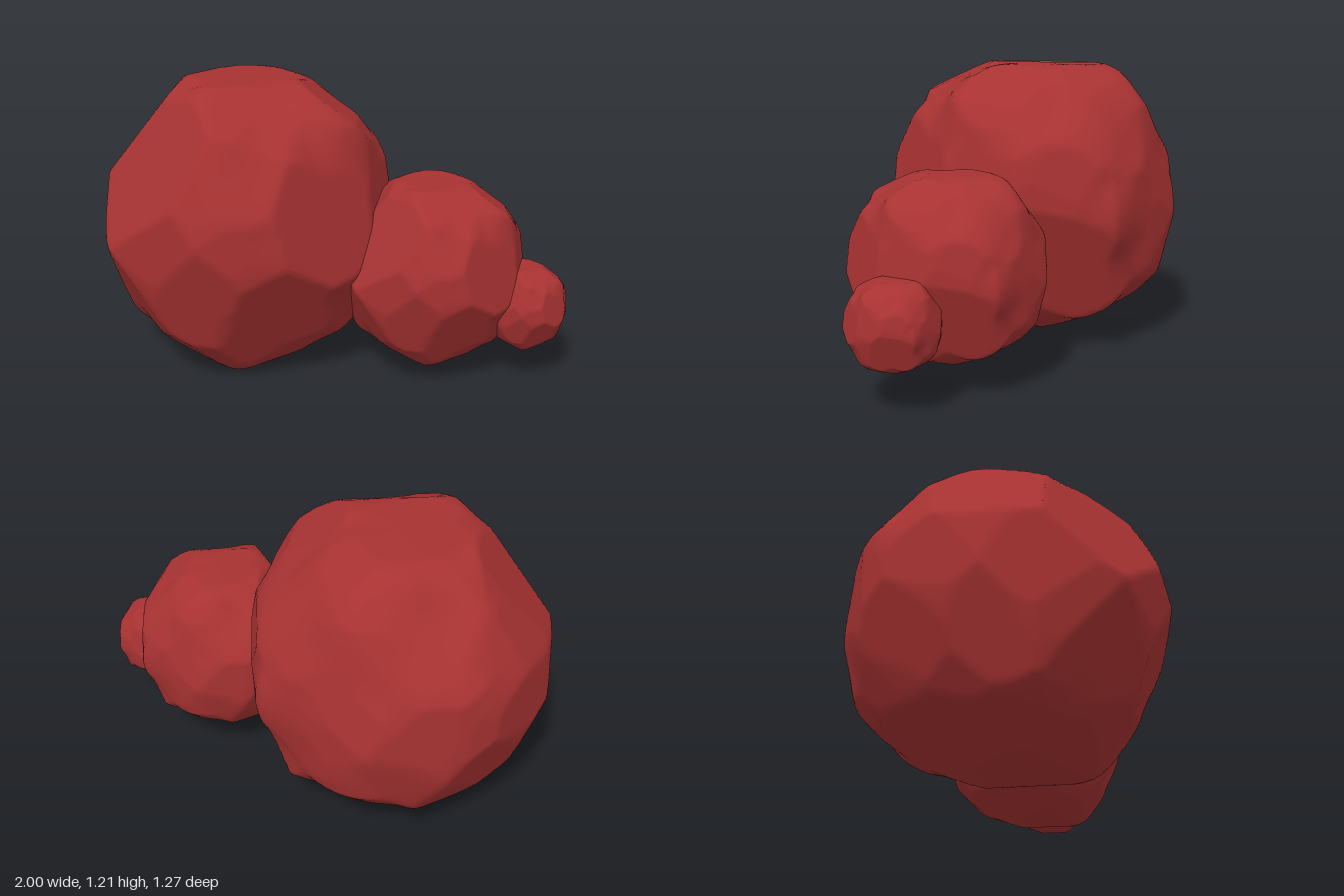
import * as THREE from 'three';
import { mergeVertices } from 'three/addons/utils/BufferGeometryUtils.js';

// Main corners of the boulder as [right, up], on planes facing an azimuth / elevation
const OUTLINES = [
  { az: 0, el: 0, corners: [
    [-0.615, -0.04], [-0.585, 0.18], [-0.32, 0.59], [0.355, 0.61], [0.535, 0.48],
    [0.615, -0.03], [0.5, -0.45], [0.085, -0.61], [-0.215, -0.575], [-0.475, -0.45]] },
  { az: 90, el: 0, corners: [
    [-0.31, -0.61], [-0.48, -0.42], [-0.64, 0.07], [-0.5, 0.5], [-0.21, 0.61], [0.38, 0.59],
    [0.53, 0.43], [0.64, -0.07], [0.6, -0.32], [0.46, -0.47], [0.1, -0.585]] },
  { az: 0, el: 90, corners: [
    [-0.615, 0], [-0.5, 0.43], [-0.115, 0.64], [0.395, 0.57], [0.615, 0.16],
    [0.6, -0.29], [0.505, -0.5], [0.03, -0.635], [-0.445, -0.48]] },
  { az: 35, el: 25, corners: [
    [0.08, 0.68], [-0.2, 0.62], [-0.575, 0.23], [-0.625, -0.09], [-0.425, -0.465], [-0.15, -0.67],
    [0.14, -0.63], [0.4, -0.5], [0.65, 0.08], [0.64, 0.27], [0.3, 0.62]] },
  { az: -145, el: 25, corners: [
    [-0.32, 0.63], [0.245, 0.615], [0.62, 0.04], [0.51, -0.43], [0.36, -0.54],
    [-0.045, -0.6], [-0.53, -0.48], [-0.65, -0.1], [-0.59, 0.295]] },
  { az: 140, el: -30, corners: [
    [-0.015, 0.65], [0.31, 0.63], [0.63, 0.21], [0.63, -0.04], [0.47, -0.4],
    [0.3, -0.6], [-0.28, -0.63], [-0.62, -0.1], [-0.475, 0.52]] },
];

// Plane axes and counter-clockwise corners for one outline
function makeRing({ az, el, corners }) {
  const a = THREE.MathUtils.degToRad(az);
  const e = THREE.MathUtils.degToRad(el);
  return {
    right: new THREE.Vector3(Math.cos(a), 0, -Math.sin(a)),
    up: new THREE.Vector3(-Math.sin(e) * Math.sin(a), Math.cos(e), -Math.sin(e) * Math.cos(a)),
    corners: [...corners].sort((p, q) => Math.atan2(p[1], p[0]) - Math.atan2(q[1], q[0])),
  };
}

const cross = (p, q) => p[0] * q[1] - p[1] * q[0];

// Factor by which t must grow to meet the outline
function reach(corners, t) {
  for (let i = 0; i < corners.length; i++) {
    const a = corners[i];
    const b = corners[(i + 1) % corners.length];
    if (cross(a, t) >= 0 && cross(t, b) >= 0) {
      return cross(a, b) / cross(t, [b[0] - a[0], b[1] - a[1]]);
    }
  }
  return Infinity;
}

function seeded(seed) {
  return () => {
    seed = (seed * 16807) % 2147483647;
    return seed / 2147483647;
  };
}

// Evenly scattered facet planes with small offsets
function makeFacets(count) {
  const rand = seeded(4711);
  return Array.from({ length: count }, (_, i) => {
    const y = 1 - (2 * i + 1) / count;
    const s = Math.sqrt(1 - y * y);
    const n = new THREE.Vector3(s * Math.cos(i * 2.39996), y, s * Math.sin(i * 2.39996));
    return { n, h: 0.615 + (rand() - 0.5) * 0.03 };
  });
}

// Softly faceted ball whose surface passes through the outlines and stays inside them
function makeBoulder() {
  const rings = OUTLINES.map(makeRing);
  const facets = makeFacets(44);
  const ball = new THREE.IcosahedronGeometry(1, 38);
  ball.deleteAttribute('uv');
  ball.deleteAttribute('normal');
  const geometry = mergeVertices(ball, 1e-4);
  const pos = geometry.attributes.position;
  const d = new THREE.Vector3();
  for (let i = 0; i < pos.count; i++) {
    d.fromBufferAttribute(pos, i).normalize();
    // Soft minimum over the facet planes
    let sum = 0;
    for (const f of facets) sum += Math.pow(Math.max(d.dot(f.n), 0) / f.h, 90);
    let weight = 0.3;
    let radius = 0.3 * Math.pow(sum, -1 / 90);
    let limit = Infinity;
    for (const ring of rings) {
      const t = [d.dot(ring.right), d.dot(ring.up)];
      const len = Math.hypot(t[0], t[1]);
      if (len < 0.3) continue;
      const bound = reach(ring.corners, t);
      const w = Math.exp((len * len - 1) / 0.03);
      weight += w;
      radius += w * bound * len;
      limit = Math.min(limit, bound);
    }
    d.multiplyScalar(Math.min(radius / weight, limit));
    pos.setXYZ(i, d.x, d.y, d.z);
  }
  geometry.computeVertexNormals();
  return geometry;
}

export function createModel() {
  const group = new THREE.Group();
  group.name = 'boulders';
  const geometry = makeBoulder();
  const material = new THREE.MeshStandardMaterial({ color: 0xa83232 });

  // The same boulder in three sizes, falling away to the left
  const boulders = [
    ['largeBoulder', 1, -0.385, 0.6125, 0],
    ['mediumBoulder', 0.617, 0.43, 0.45, -0.02],
    ['smallBoulder', 0.282, 0.826, 0.325, -0.02],
  ];
  for (const [name, scale, x, y, z] of boulders) {
    const mesh = new THREE.Mesh(geometry, material);
    mesh.name = name;
    mesh.scale.setScalar(scale);
    mesh.position.set(x, y, z);
    group.add(mesh);
  }
  return group;
}
